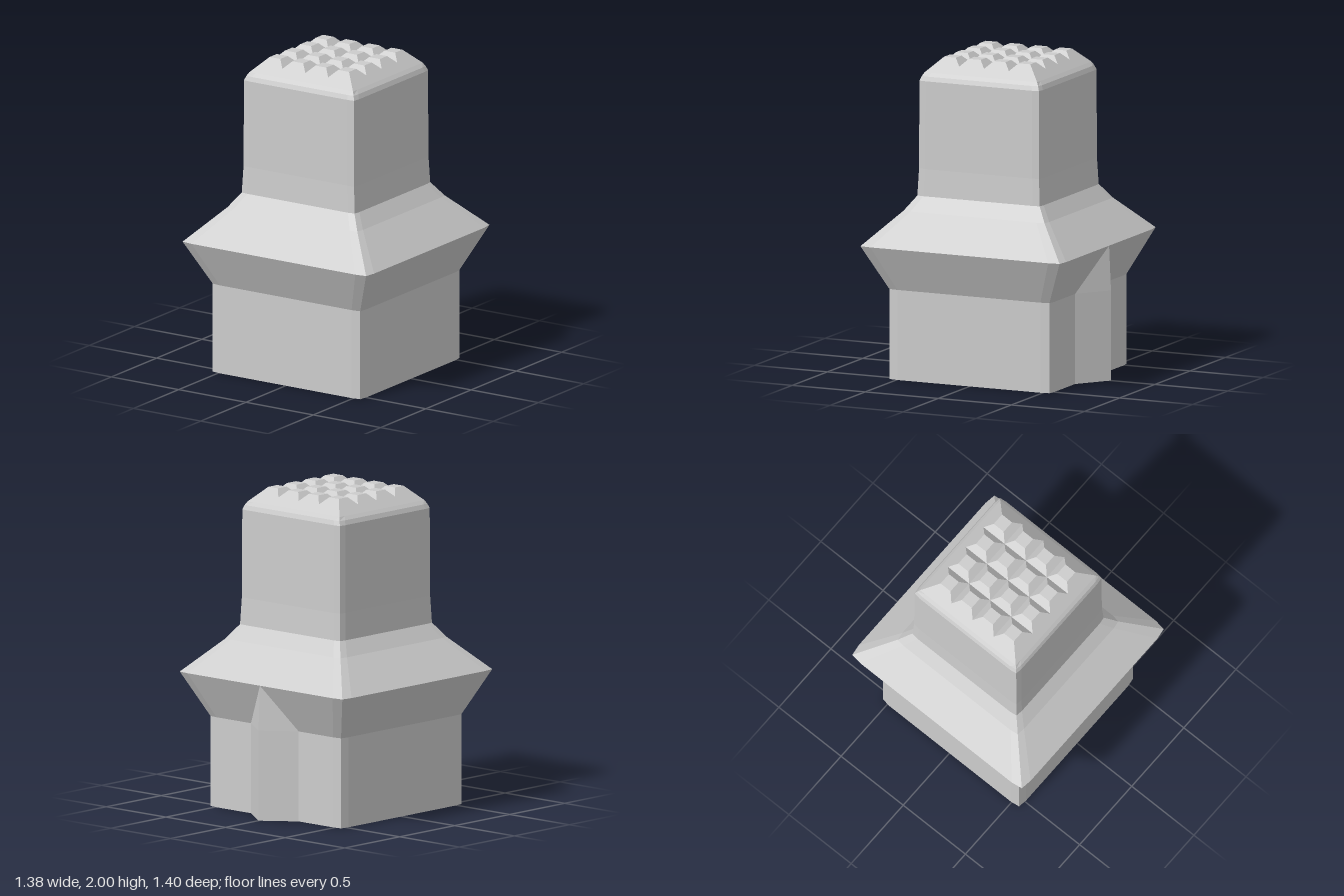
import * as THREE from 'three';

const body = new THREE.MeshStandardMaterial({ color: 0xcccccc });
body.name = 'lightGrey';

// Square outline of half-width h with slightly bowed sides, counter-clockwise
function outline(h, corner = 0.985) {
  let side = [[corner * h, corner * h], [0.88 * h, h], [-0.88 * h, h]];
  const points = [];
  for (let k = 0; k < 4; k++) {
    points.push(...side);
    side = side.map(([x, y]) => [-y, x]);
  }
  return points.map(([x, y]) => new THREE.Vector2(x, y));
}

// Flat-shaded geometry from a list of corner points, three per triangle
function facets(points) {
  const geometry = new THREE.BufferGeometry().setFromPoints(points);
  geometry.computeVertexNormals();
  return geometry;
}

// Stack of square outlines joined into walls; rows are [half-width, height, corner]
function loft(rows) {
  const rings = rows.map(([h, y, corner]) =>
    outline(h, corner).map((p) => new THREE.Vector3(p.x, y, -p.y)));
  const points = [];
  for (let r = 0; r + 1 < rings.length; r++) {
    const low = rings[r], high = rings[r + 1];
    low.forEach((a, i) => {
      const n = (i + 1) % low.length;
      points.push(a, low[n], high[n], a, high[n], high[i]);
    });
  }
  return facets(points);
}

// Cross-shaped socket outline with a round centre
function socketOutline() {
  const w = 0.055, reach = 0.42, radius = 0.155;
  const start = Math.asin(w / radius);
  const path = new THREE.Path();
  const points = [];
  for (let k = 0; k < 4; k++) {
    const turn = k * Math.PI / 2, centre = new THREE.Vector2();
    const add = (x, y) => points.push(new THREE.Vector2(x, y).rotateAround(centre, turn));
    add(reach, -w);
    add(reach, w);
    for (let s = 0; s <= 6; s++) {
      const t = start + (Math.PI / 2 - 2 * start) * s / 6;
      add(radius * Math.cos(t), radius * Math.sin(t));
    }
  }
  path.setFromPoints(points);
  return path;
}

// Top with a bevelled rim and crossing V-grooves
function grooveTop() {
  const half = [0.045, 0.125, 0.17, 0.215, 0.295, 0.34, 0.385];
  const lines = [...half.map((v) => -v).reverse(), 0, ...half];
  const groove = (v) => 1.955 + Math.min(...[-0.17, 0, 0.17].map((g) => Math.abs(v - g)));
  const at = (x, z) => new THREE.Vector3(x,
    Math.min(2, 2.295 - Math.max(Math.abs(x), Math.abs(z)), groove(x), groove(z)), z);
  const points = [];
  for (let i = 0; i + 1 < lines.length; i++) {
    for (let j = 0; j + 1 < lines.length; j++) {
      const a = at(lines[i], lines[j]), b = at(lines[i], lines[j + 1]);
      const c = at(lines[i + 1], lines[j + 1]), d = at(lines[i + 1], lines[j]);
      // Split each cell along its higher diagonal so the creases stay crisp
      if (a.y + c.y >= b.y + d.y) points.push(a, b, c, a, c, d);
      else points.push(a, b, d, b, c, d);
    }
  }
  return facets(points);
}

export function createModel() {
  const model = new THREE.Group();
  model.name = 'squarePeg';
  const add = (name, geometry) => {
    const mesh = new THREE.Mesh(geometry, body);
    mesh.name = name;
    mesh.position.z = 0.005;
    model.add(mesh);
    return mesh;
  };

  const baseHalf = 0.556, baseTop = 0.565, ridgeHalf = 0.2, ridgeTip = 0.705;
  const flange = 0.692, flangeY = 0.845;

  // Base block with the back ridge and the socket cut into its underside
  const base = outline(baseHalf);
  base.splice(2, 0,
    new THREE.Vector2(ridgeHalf, baseHalf),
    new THREE.Vector2(0, ridgeTip),
    new THREE.Vector2(-ridgeHalf, baseHalf));
  const baseShape = new THREE.Shape(base);
  baseShape.holes.push(socketOutline());
  const block = new THREE.ExtrudeGeometry(baseShape, { depth: baseTop, bevelEnabled: false });
  add('base', block.rotateX(-Math.PI / 2));

  // Socket floor, facing down
  const floor = new THREE.PlaneGeometry(0.9, 0.9).rotateX(Math.PI / 2);
  add('socketFloor', floor).position.y = baseTop - 0.002;

  // Tapered end of the back ridge running up to the flange edge
  const apex = new THREE.Vector3(0, flangeY, -flange);
  const tip = new THREE.Vector3(0, baseTop, -ridgeTip);
  const left = new THREE.Vector3(ridgeHalf, baseTop, -baseHalf);
  const right = new THREE.Vector3(-ridgeHalf, baseTop, -baseHalf);
  add('ridgeEnd', facets([left, tip, apex, tip, right, apex]));

  // Flared collar and upright neck
  add('collar', loft([
    [baseHalf, baseTop], [flange, flangeY], [0.49, 1.05], [0.425, 1.14],
  ]));
  add('neck', loft([
    [0.425, 1.14], [0.417, 1.31], [0.415, 1.86], [0.404, 1.888], [0.385, 1.91, 1],
  ]));

  add('groovedTop', grooveTop());
  return model;
}
